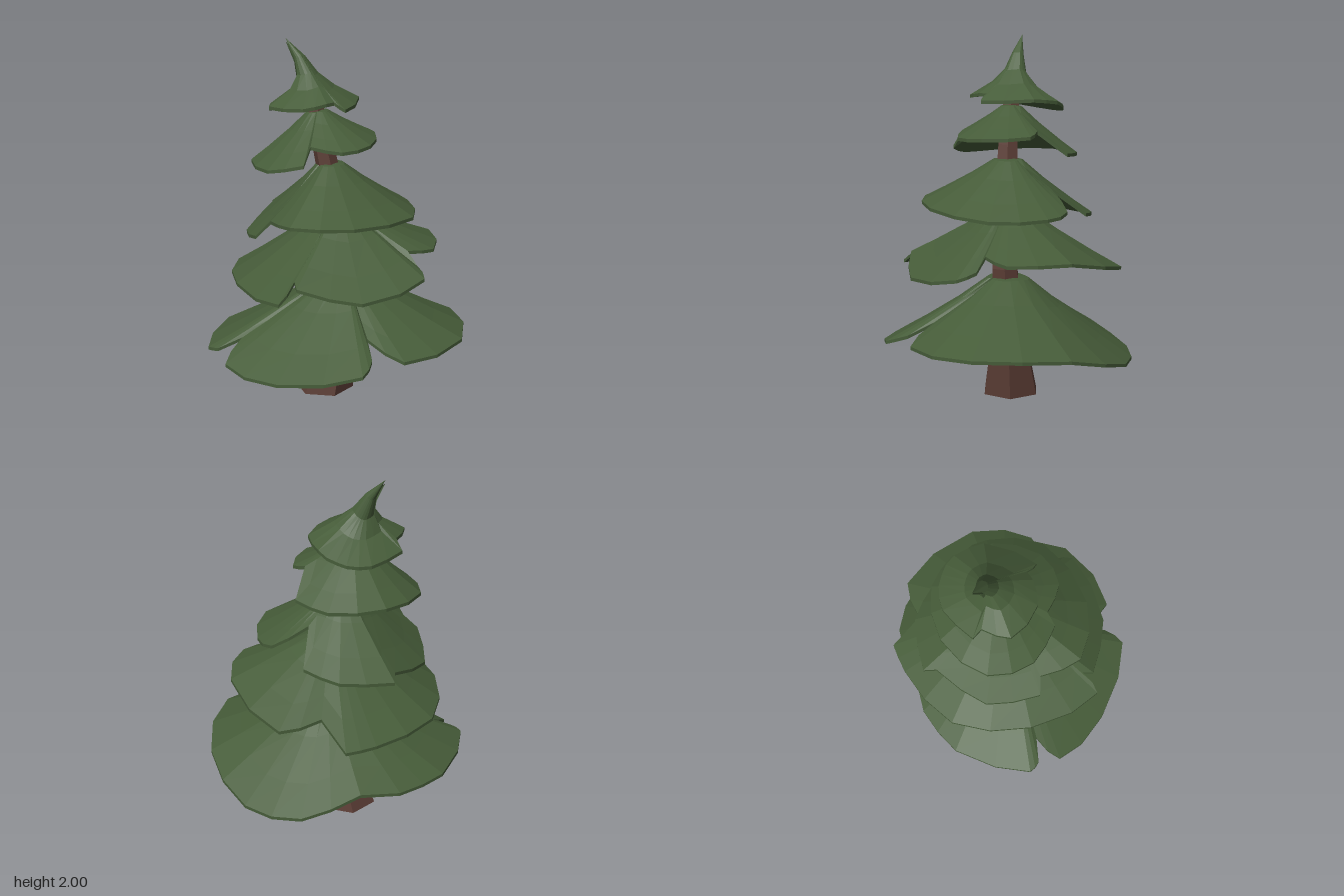
import * as THREE from 'three';

const needleGreen = new THREE.MeshStandardMaterial({ color: 0x465c39, flatShading: true });
needleGreen.name = 'needleGreen';
const barkBrown = new THREE.MeshStandardMaterial({ color: 0x5b3d35, flatShading: true });
barkBrown.name = 'barkBrown';

const THICKNESS = 0.018;

// Rows of a bough skirt from tip to rim: [radius share, drop share, lean share]
const skirtRows = [[0, 0, 0], [0.17, 0.05, 0], [0.42, 0.37, 0], [0.75, 0.74, 0], [1, 1, 0]];
const crownRows = [[0, 0, 1], [0.12, 0.28, 0.45], [0.23, 0.55, 0.15], [0.5, 0.77, 0], [1, 1, 0]];

function makeMesh(name, points, faces, material) {
  const indexed = new THREE.BufferGeometry();
  indexed.setAttribute('position', new THREE.Float32BufferAttribute(points, 3));
  indexed.setIndex(faces);
  const geometry = indexed.toNonIndexed();
  geometry.computeVertexNormals();
  const mesh = new THREE.Mesh(geometry, material);
  mesh.name = name;
  return mesh;
}

// Rounds one lobe's few corners [x, y, z] into a rim curve
function lobeRim(corners) {
  const curve = new THREE.CatmullRomCurve3(corners.map((c) => new THREE.Vector3(...c)));
  return curve.getPoints((corners.length - 1) * 2);
}

// Thin draped shell over the lobes: upper skin, lower skin and the edge between them.
// The gaps between neighbouring lobes form the notches.
function makeBoughs(name, tip, centre, rows, lobes) {
  const rim = lobes.flatMap(lobeRim);
  const [tipX, top, tipZ] = tip, [midX, midZ] = centre;
  const points = [], faces = [], n = rim.length, layer = rows.length * n;
  for (const sink of [0, THICKNESS]) {
    for (const [t, drop, bend] of rows) {
      for (const p of rim) {
        points.push(
          midX + (p.x - midX) * t + (tipX - midX) * bend,
          top - (top - p.y) * drop - sink,
          midZ + (p.z - midZ) * t + (tipZ - midZ) * bend,
        );
      }
    }
  }
  for (let j = 0; j < n; j++) {
    const k = (j + 1) % n;
    for (let i = 0; i < rows.length - 1; i++) {
      const c = i * n + j, d = i * n + k, a = c + n, b = d + n;
      faces.push(c, b, a, c + layer, a + layer, b + layer);
      if (i > 0) faces.push(c, d, b, c + layer, b + layer, d + layer);
    }
    const a = layer - n + j, b = layer - n + k;
    faces.push(a, b, a + layer, b, b + layer, a + layer);
  }
  return makeMesh(name, points, faces, needleGreen);
}

// Six-sided leaning trunk through sections of [x, y, z, radius]
function makeTrunk() {
  const sections = [
    [-0.045, 0, -0.07, 0.168], [0.035, 0.42, -0.01, 0.095], [0.05, 0.75, 0.02, 0.078],
    [0.01, 1.08, -0.01, 0.073], [-0.05, 1.42, -0.055, 0.06], [-0.105, 1.75, -0.115, 0.045],
  ];
  const points = [], faces = [], sides = 6;
  for (const [x, y, z, r] of sections) {
    for (let j = 0; j < sides; j++) {
      const angle = (j / sides) * Math.PI * 2 + Math.PI / 2;
      points.push(x + r * Math.cos(angle), y, z + r * Math.sin(angle));
    }
  }
  for (let i = 0; i < sections.length - 1; i++) {
    for (let j = 0; j < sides; j++) {
      const a = i * sides + j, b = i * sides + ((j + 1) % sides);
      faces.push(a, a + sides, b, b, a + sides, b + sides);
    }
  }
  const last = (sections.length - 1) * sides;
  for (let j = 1; j < sides - 1; j++) {
    faces.push(0, j, j + 1, last, last + j + 1, last + j);
  }
  return makeMesh('trunk', points, faces, barkBrown);
}

export function createModel() {
  const tree = new THREE.Group();
  tree.name = 'pineTree';
  tree.add(makeTrunk());

  tree.add(makeBoughs('bottomBoughs', [0.05, 0.71, 0], [0.05, 0], skirtRows, [
    [[0, 0.36, -0.58], [0.33, 0.28, -0.61], [0.6, 0.28, -0.42], [0.72, 0.39, 0],
      [0.55, 0.42, 0.49], [0.14, 0.41, 0.64], [0.01, 0.48, 0.44]],
    [[-0.02, 0.42, 0.58], [-0.11, 0.38, 0.67], [-0.5, 0.3, 0.44], [-0.69, 0.32, 0.13],
      [-0.56, 0.41, 0.02]],
    [[-0.69, 0.36, 0], [-0.73, 0.35, -0.06], [-0.5, 0.34, -0.45], [-0.22, 0.34, -0.58]],
  ]));

  tree.add(makeBoughs('lowerBoughs', [0.03, 1.09, -0.02], [0.03, -0.02], skirtRows, [
    [[0.19, 0.8, -0.48], [0.42, 0.77, -0.5], [0.6, 0.87, -0.07], [0.48, 0.87, 0.25],
      [0.31, 0.89, 0.28]],
    [[0.34, 0.82, 0.35], [0.33, 0.79, 0.46], [-0.06, 0.73, 0.54], [-0.37, 0.8, 0.39]],
    [[-0.36, 0.82, 0.33], [-0.47, 0.73, 0.39], [-0.57, 0.72, -0.02], [-0.43, 0.7, -0.44],
      [-0.07, 0.69, -0.63], [0.1, 0.69, -0.66]],
  ]));

  tree.add(makeBoughs('middleBoughs', [-0.02, 1.35, -0.04], [-0.02, -0.04], skirtRows, [
    [[0.19, 1.2, -0.18], [0.39, 1.1, -0.17], [0.44, 1.08, -0.02], [0.34, 1.08, 0.28],
      [-0.06, 1.1, 0.42], [-0.37, 1.11, 0.3], [-0.4, 1.08, 0.07]],
    [[-0.48, 1, 0.05], [-0.44, 0.94, -0.24], [-0.21, 1.02, -0.46]],
    [[-0.19, 1, -0.53], [0.1, 1.02, -0.51], [0.26, 1.05, -0.37]],
  ]));

  tree.add(makeBoughs('upperBoughs', [-0.07, 1.635, -0.08], [-0.07, -0.08], skirtRows, [
    [[0.19, 1.51, -0.1], [0.24, 1.49, -0.03], [0.12, 1.48, 0.2], [-0.06, 1.47, 0.25],
      [-0.2, 1.49, 0.15]],
    [[-0.25, 1.4, 0.18], [-0.4, 1.35, 0.03], [-0.41, 1.35, -0.22], [-0.17, 1.37, -0.41],
      [0.13, 1.37, -0.39], [0.27, 1.39, -0.24]],
  ]));

  tree.add(makeBoughs('crown', [-0.2, 2, -0.23], [-0.1, -0.12], crownRows, [
    [[0.15, 1.66, -0.25], [0.17, 1.68, -0.09], [0, 1.67, 0.14], [-0.04, 1.7, 0.08]],
    [[-0.09, 1.7, 0.1], [-0.22, 1.68, 0.09], [-0.35, 1.67, -0.08], [-0.27, 1.67, -0.21]],
    [[-0.29, 1.62, -0.26], [-0.1, 1.6, -0.37], [0.03, 1.61, -0.36], [0.12, 1.64, -0.3]],
  ]));

  return tree;
}
